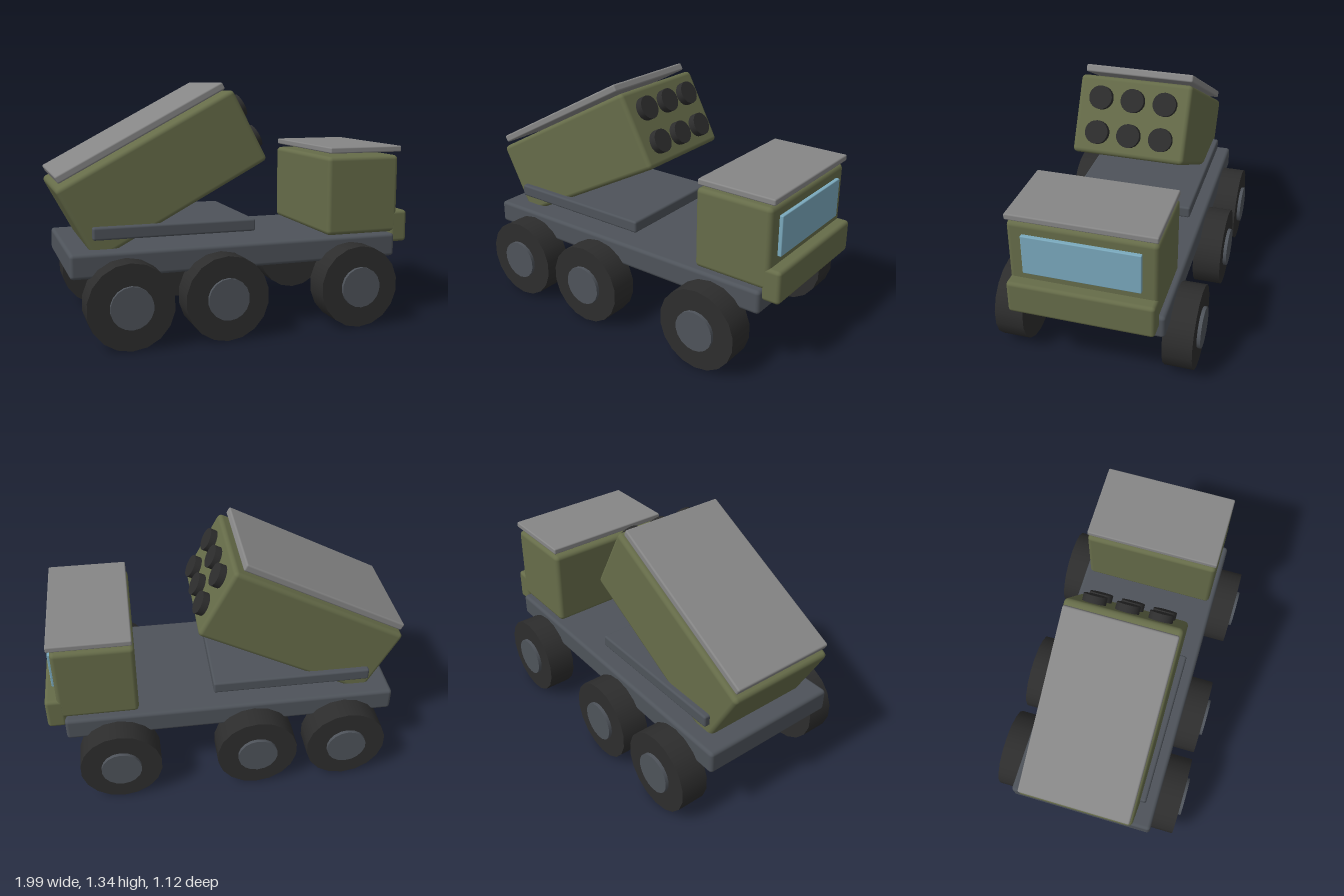
import * as THREE from 'three';
import { RoundedBoxGeometry } from 'three/addons/geometries/RoundedBoxGeometry.js';

const material = (name, color) => {
  const m = new THREE.MeshStandardMaterial({ color });
  m.name = name;
  return m;
};

export function createModel() {
  const olive = material('olive paint', 0x666c49);
  const steel = material('chassis steel', 0x4e535a);
  const grey = material('grey panel', 0x868686);
  const rubber = material('black rubber', 0x2d2d2d);
  const glass = material('blue glass', 0x7aa9bd);

  const model = new THREE.Group();
  model.name = 'launcherTruck';

  // Bevelled box given by its x and y extents and half depth
  const box = (parent, name, mat, x0, x1, y0, y1, halfZ, bevel) => {
    const geo = new RoundedBoxGeometry(x1 - x0, y1 - y0, halfZ * 2, 2, bevel);
    const mesh = new THREE.Mesh(geo, mat);
    mesh.name = name;
    mesh.position.set((x0 + x1) / 2, (y0 + y1) / 2, 0);
    parent.add(mesh);
    return mesh;
  };

  // Chassis and launcher deck
  box(model, 'chassis', steel, -0.95, 0.9, 0.355, 0.487, 0.412, 0.02);
  box(model, 'launcherDeck', steel, -0.82, 0.07, 0.54, 0.608, 0.35, 0.012);

  // Cab
  const cab = new THREE.Group();
  cab.name = 'cab';
  model.add(cab);
  box(cab, 'cabBody', olive, 0.49, 0.93, 0.49, 0.934, 0.383, 0.025);
  box(cab, 'cabRoof', grey, 0.5, 0.945, 0.953, 0.987, 0.383, 0.008);
  box(cab, 'bumper', olive, 0.89, 0.995, 0.43, 0.613, 0.383, 0.02);
  box(cab, 'windscreen', glass, 0.925, 0.95, 0.655, 0.875, 0.304, 0.005);

  // Raised launcher box with its cover and tube ends
  const launcher = new THREE.Group();
  launcher.name = 'launcher';
  launcher.position.set(-0.425, 0.865, 0);
  launcher.rotation.z = THREE.MathUtils.degToRad(28);
  model.add(launcher);
  box(launcher, 'launcherBox', olive, -0.54, 0.54, -0.217, 0.217, 0.317, 0.025);
  box(launcher, 'launcherCover', grey, -0.506, 0.506, 0.235, 0.277, 0.305, 0.01);
  const tubeGeo = new THREE.CylinderGeometry(0.065, 0.065, 0.08, 20).rotateZ(-Math.PI / 2);
  for (const y of [-0.096, 0.096]) {
    for (const z of [-0.18, 0, 0.18]) {
      const tube = new THREE.Mesh(tubeGeo, rubber);
      tube.name = 'launchTube';
      tube.position.set(0.54, y, z);
      launcher.add(tube);
    }
  }

  // Three axles of wheels, mirrored on both sides
  const tyreGeo = new THREE.CylinderGeometry(0.228, 0.228, 0.16, 18).rotateX(Math.PI / 2);
  const hubGeo = new THREE.CylinderGeometry(0.112, 0.112, 0.1, 18).rotateX(Math.PI / 2);
  for (const x of [-0.665, -0.153, 0.614]) {
    for (const side of [-1, 1]) {
      const wheel = new THREE.Group();
      wheel.name = 'wheel';
      wheel.position.set(x, 0.228, side * 0.462);
      const tyre = new THREE.Mesh(tyreGeo, rubber);
      tyre.name = 'tyre';
      const hub = new THREE.Mesh(hubGeo, steel);
      hub.name = 'hub';
      hub.position.z = side * 0.049;
      wheel.add(tyre, hub);
      model.add(wheel);
    }
  }

  return model;
}
